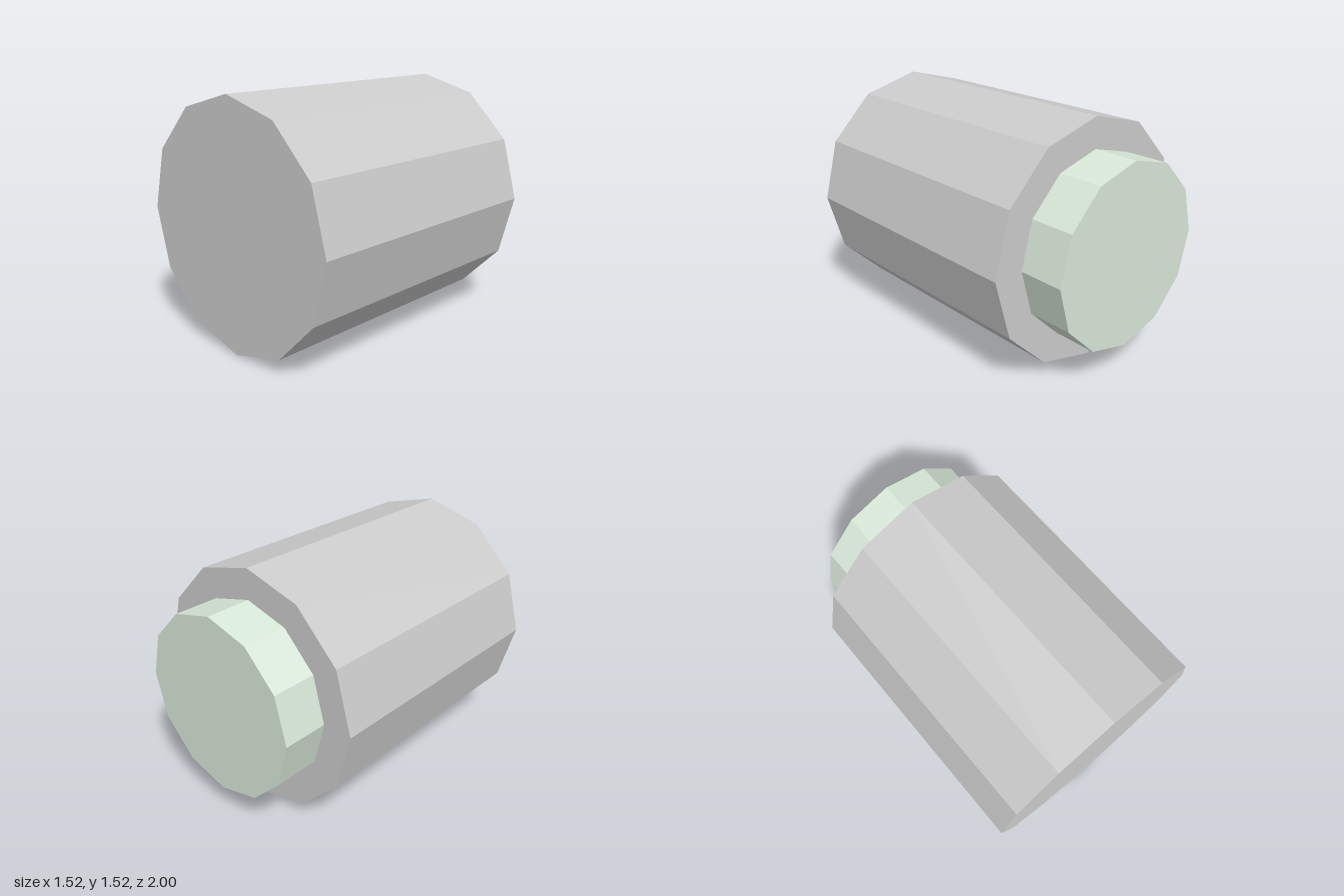
import * as THREE from 'three';

const RADIUS = 0.762;
const SIDES = 12;

// Twelve-sided drum lying along z, centred at the body's axis height
function drum(name, radius, zBack, zFront, color) {
  const geometry = new THREE.CylinderGeometry(radius, radius, zFront - zBack, SIDES);
  geometry.rotateX(Math.PI / 2);
  const mesh = new THREE.Mesh(
    geometry,
    new THREE.MeshStandardMaterial({ color, flatShading: true })
  );
  mesh.name = name;
  mesh.position.set(0, RADIUS, (zBack + zFront) / 2);
  return mesh;
}

export function createModel() {
  const model = new THREE.Group();
  model.name = 'steppedCylinder';

  // Large grey barrel with a narrower pale green plug at the back
  model.add(drum('barrel', RADIUS, -0.714, 1, 0xcccccc));
  model.add(drum('rearPlug', 0.571, -1, -0.714, 0xd8e8d8));

  return model;
}
